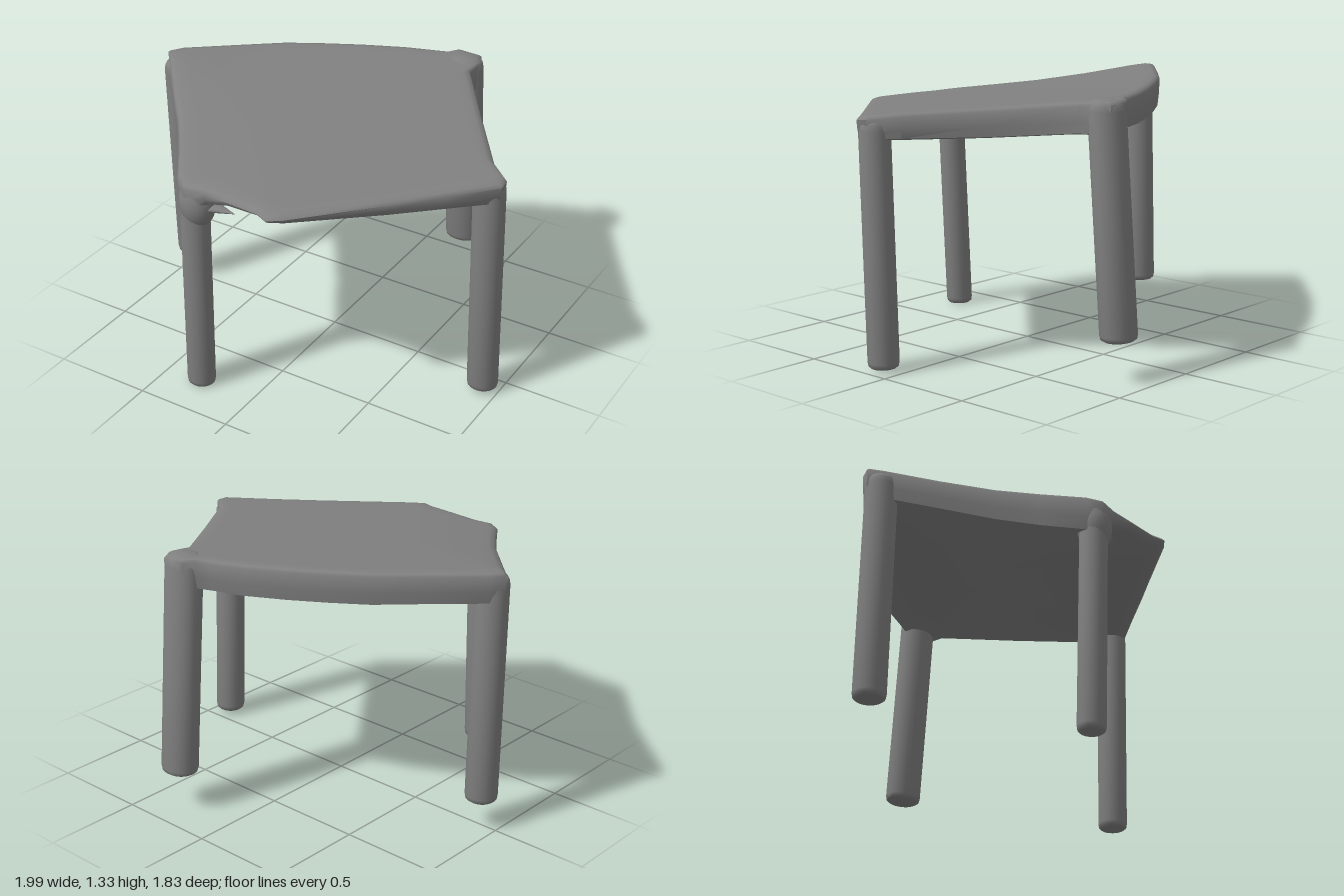
import * as THREE from 'three';
import { toCreasedNormals } from 'three/addons/utils/BufferGeometryUtils.js';

const { smoothstep, lerp } = THREE.MathUtils;

// Height of the seat's top: gently tilted, rolling down along the front right edge
const seatY = (x, z) => 1.26 - 0.05 * x - 0.08 * z + 0.024 * x * x
  - 0.025 * smoothstep(0.62 * z - 0.78 * x, 0.4, 0.78) * smoothstep(z, 0, 0.4);

// Seat outline, clockwise from above: [x, z, depth of the edge]
const OUTLINE = [
  [-1, 0, 0.16], [-0.96, -0.06, 0.16], [-0.75, -0.24, 0.16], [-0.55, -0.405, 0.165],
  [-0.38, -0.51, 0.165], [-0.2, -0.61, 0.165], [0, -0.705, 0.165], [0.14, -0.755, 0.16],
  [0.21, -0.78, 0.16], [0.25, -0.83, 0.16], [0.37, -0.83, 0.16], [0.405, -0.76, 0.155],
  [0.395, -0.66, 0.155], [0.64, -0.31, 0.145], [0.87, 0.01, 0.13], [0.985, 0.11, 0.12],
  [0.99, 0.17, 0.115], [0.8, 0.35, 0.1], [0.61, 0.535, 0.085], [0.26, 0.87, 0.05],
  [0.2, 0.91, 0.045], [0.14, 0.885, 0.045], [-0.04, 0.872, 0.055], [-0.17, 0.862, 0.09],
  [-0.28, 0.87, 0.16], [-0.345, 0.82, 0.19], [-0.47, 0.64, 0.185], [-0.6, 0.465, 0.175],
  [-0.78, 0.26, 0.165], [-0.95, 0.06, 0.165],
];

// Solid seat: closed rings run from the top's middle, over the rim, to the underside's middle
function seatGeometry() {
  const ring = (s, drop) => OUTLINE.map(([x, z, depth]) =>
    [x * s, seatY(x * s, z * s) - drop(depth), z * s]);
  const rings = [
    ...[0, 0.2, 0.4, 0.6, 0.75, 0.88, 0.95].map((s) => ring(s, () => 0)),
    ring(0.985, () => 0.006),
    ring(1, () => 0.02),
    ring(0.995, (d) => d * 0.6),
    ring(0.985, (d) => d - 0.01),
    ...[0.96, 0.9, 0.8, 0.65, 0.45, 0.2, 0].map((s) => ring(s, (d) => lerp(0.11, d, s ** 3))),
  ];
  const n = OUTLINE.length, index = [];
  for (let k = 0; k < rings.length - 1; k++) {
    for (let i = 0; i < n; i++) {
      const j = (i + 1) % n;
      const a = k * n + i, b = k * n + j, c = a + n, d = b + n;
      index.push(a, d, c, a, b, d);
    }
  }
  const g = new THREE.BufferGeometry();
  g.setAttribute('position', new THREE.Float32BufferAttribute(rings.flat(2), 3));
  g.setIndex(index);
  return toCreasedNormals(g, 0.9);
}

// Round leg leaning from its foot to its top
function legGeometry(foot, top, rx, rz) {
  const profile = [[0, 0], [0.8, 0], [0.95, 0.008], [1, 0.025], [1, 0.5], [1, 0.95],
    [0.96, 0.975], [0.85, 0.99], [0.6, 0.998], [0, 1]];
  const g = new THREE.LatheGeometry(profile.map((p) => new THREE.Vector2(p[0], p[1])), 28);
  const pos = g.attributes.position;
  for (let i = 0; i < pos.count; i++) {
    const t = pos.getY(i);
    pos.setXYZ(i,
      pos.getX(i) * rx + foot[0] + (top[0] - foot[0]) * t,
      foot[1] + (top[1] - foot[1]) * t,
      pos.getZ(i) * rz + foot[2] + (top[2] - foot[2]) * t);
  }
  return toCreasedNormals(g, 0.8);
}

export function createModel() {
  const group = new THREE.Group();
  const grey = new THREE.MeshStandardMaterial({ color: 0x808080 });
  grey.name = 'grey';
  const add = (name, geometry) => {
    const mesh = new THREE.Mesh(geometry, grey);
    mesh.name = name;
    group.add(mesh);
    return mesh;
  };

  add('seat', seatGeometry());

  // Legs
  add('rightLeg', legGeometry([-0.915, 0.15, -0.012], [-0.912, 1.3, 0.02], 0.081, 0.078));
  add('frontLeg', legGeometry([-0.3, 0, 0.775], [-0.265, 1.15, 0.8], 0.072, 0.066));
  add('leftLeg', legGeometry([0.915, 0.02, 0.095], [0.912, 1.205, 0.135], 0.078, 0.074));
  add('backLeg', legGeometry([0.31, 0.2, -0.842], [0.31, 1.312, -0.755], 0.1, 0.083));

  // Swollen joint at the front leg's top, with a short pointed spur beside it
  const joint = add('frontJoint', new THREE.SphereGeometry(1, 24, 16));
  joint.scale.set(0.09, 0.13, 0.08);
  joint.position.set(-0.255, 1.06, 0.795);
  const spur = add('spur', new THREE.ConeGeometry(0.07, 0.2, 16));
  spur.rotation.z = -Math.PI / 2;
  spur.scale.x = 0.45;
  spur.position.set(-0.15, 1.05, 0.785);

  return group;
}
